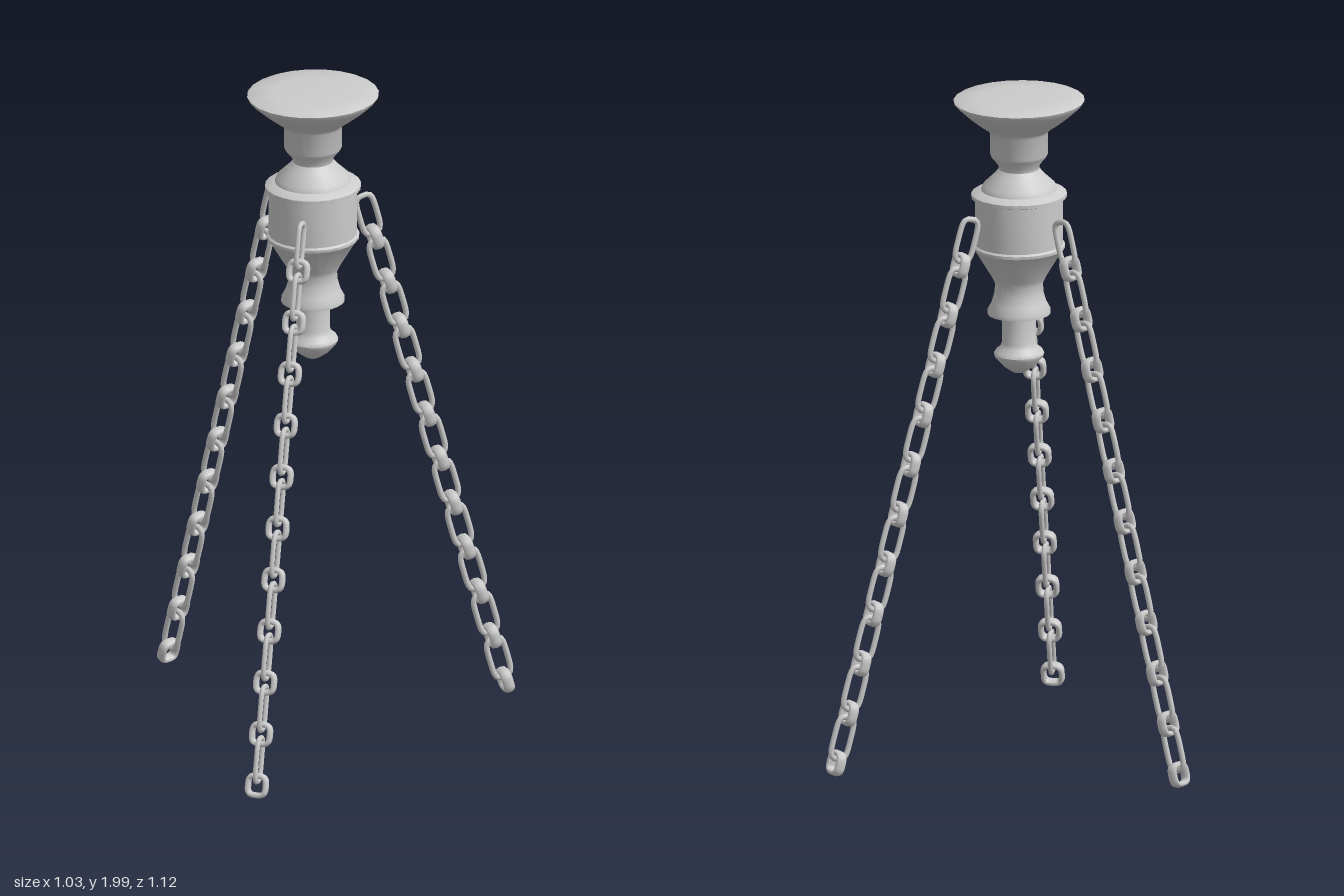
import * as THREE from 'three';
import { toCreasedNormals } from 'three/addons/utils/BufferGeometryUtils.js';

const material = new THREE.MeshStandardMaterial({ color: 0xcccccc });

// Turned body: [radius, height] from the bottom tip to the domed cap
const PROFILE = [
  [0, 1.155], [0.02, 1.158], [0.045, 1.175], [0.072, 1.205], [0.075, 1.214], [0.07, 1.224],
  [0.056, 1.235], [0.05, 1.25], [0.05, 1.335], [0.094, 1.337], [0.094, 1.348],
  [0.082, 1.37], [0.073, 1.4], [0.071, 1.43], [0.079, 1.447], [0.132, 1.535],
  [0.137, 1.538], [0.137, 1.547], [0.131, 1.552], [0.131, 1.69], [0.142, 1.694], [0.142, 1.705],
  [0.136, 1.709], [0.113, 1.717], [0.107, 1.732], [0.075, 1.762], [0.06, 1.78], [0.062, 1.793],
  [0.082, 1.817], [0.086, 1.826], [0.086, 1.89], [0.093, 1.901], [0.115, 1.916], [0.15, 1.943],
  [0.18, 1.97], [0.193, 1.984], [0.195, 1.99], [0.188, 1.994], [0.12, 1.998], [0, 2],
];

// Closed rounded link in the xy plane; depth stretches the wire along z
function linkGeometry(halfWidth, halfLength, wire, depth, power) {
  const points = [];
  for (let i = 0; i < 20; i++) {
    const a = (i / 20) * Math.PI * 2;
    const c = Math.cos(a), s = Math.sin(a);
    points.push(new THREE.Vector3(
      halfWidth * Math.sign(c) * Math.abs(c) ** power,
      halfLength * Math.sign(s) * Math.abs(s) ** power, 0));
  }
  const path = new THREE.CatmullRomCurve3(points, true);
  return new THREE.TubeGeometry(path, 28, wire, 8, true).scale(1, 1, depth);
}

const longLink = linkGeometry(0.028, 0.064, 0.009, 0.85, 0.5);
const shortLink = linkGeometry(0.027, 0.029, 0.009, 1.9, 0.6).rotateY(Math.PI / 2);

// Alternating long and short links hung along a straight line
function createChain(name, top, bottom) {
  const chain = new THREE.Group();
  chain.name = name;
  const along = top.clone().sub(bottom).normalize();
  const tangent = new THREE.Vector3().crossVectors(along, new THREE.Vector3(0, 1, 0)).normalize();
  const outward = new THREE.Vector3().crossVectors(along, tangent);
  const basis = new THREE.Matrix4().makeBasis(outward, along, tangent);
  const count = 22;
  for (let i = 0; i < count; i++) {
    const isLong = i % 2 === 0;
    const link = new THREE.Mesh(isLong ? longLink : shortLink, material);
    link.name = isLong ? 'longLink' : 'shortLink';
    link.quaternion.setFromRotationMatrix(basis);
    link.position.lerpVectors(top, bottom, i / (count - 1));
    chain.add(link);
  }
  return chain;
}

export function createModel() {
  const model = new THREE.Group();
  model.name = 'hangingChainMount';

  // Turned body, slightly oval in plan
  const profile = PROFILE.map(([r, y]) => new THREE.Vector2(r, y));
  const lathe = new THREE.LatheGeometry(profile, 24, Math.PI / 2).scale(1, 1, 0.945);
  const body = new THREE.Mesh(toCreasedNormals(lathe, 0.75), material);
  body.name = 'turnedBody';
  body.position.set(-0.116, 0, 0.034);
  model.add(body);

  // Three chains spreading down and outwards
  const chains = [
    ['leftChain', [0.057, 0.035], [0.487, 0.035]],
    ['backChain', [-0.185, -0.125], [-0.35, -0.53]],
    ['frontChain', [-0.215, 0.185], [-0.483, 0.525]],
  ];
  for (const [name, [x0, z0], [x1, z1]] of chains) {
    model.add(createChain(name,
      new THREE.Vector3(x0, 1.583, z0), new THREE.Vector3(x1, 0.043, z1)));
  }
  return model;
}
